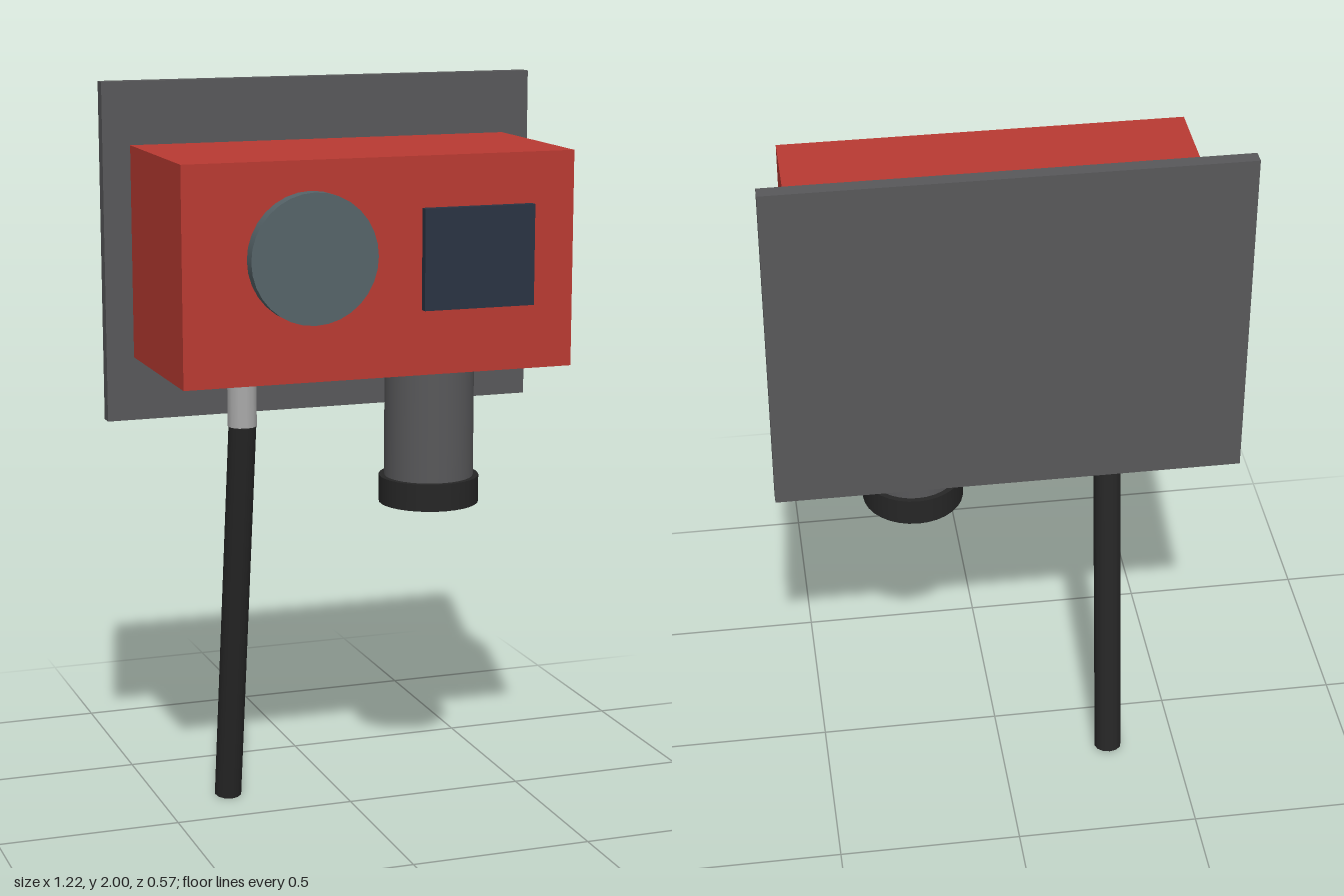
import * as THREE from 'three';

const material = (color) => new THREE.MeshStandardMaterial({ color });

export function createModel() {
  const group = new THREE.Group();

  const add = (name, geometry, mat, x, y, z) => {
    const mesh = new THREE.Mesh(geometry, mat);
    mesh.name = name;
    mesh.position.set(x, y, z);
    group.add(mesh);
    return mesh;
  };
  const box = (w, h, d) => new THREE.BoxGeometry(w, h, d);
  const rod = (r, h, sides) => new THREE.CylinderGeometry(r, r, h, sides);

  const grey = material(0x58585a);
  const black = material(0x262626);

  // Mounting plate and main housing
  add('backPlate', box(1.224, 0.918, 0.038), grey, 0, 1.541, -0.268);
  add('housing', box(1.072, 0.575, 0.497), material(0xb93a32), 0, 1.543, -0.001);

  // Round dial and square screen on the front face
  const dial = add('dial', rod(0.171, 0.06, 32), material(0x566469), -0.194, 1.581, 0.256);
  dial.rotation.x = Math.PI / 2;
  add('screen', box(0.307, 0.267, 0.04), material(0x2a3342), 0.264, 1.562, 0.25);

  // Cylinder hanging under the housing, with its end cap
  add('barrel', rod(0.122, 0.36, 32), grey, 0.226, 1.09, 0.002);
  add('barrelCap', rod(0.137, 0.075, 32), black, 0.226, 0.8905, 0.002);

  // Cable connector and the cable leaning back below it
  add('connector', rod(0.04, 0.17, 12), material(0xaaaaaa), -0.307, 1.185, 0.002);
  const tilt = 0.157;
  const cableLength = 1.11;
  const cable = add('cable', rod(0.038, cableLength, 12), black, -0.307,
    1.104 - Math.cos(tilt) * cableLength / 2, 0.004 - Math.sin(tilt) * cableLength / 2);
  cable.rotation.x = tilt;

  return group;
}
